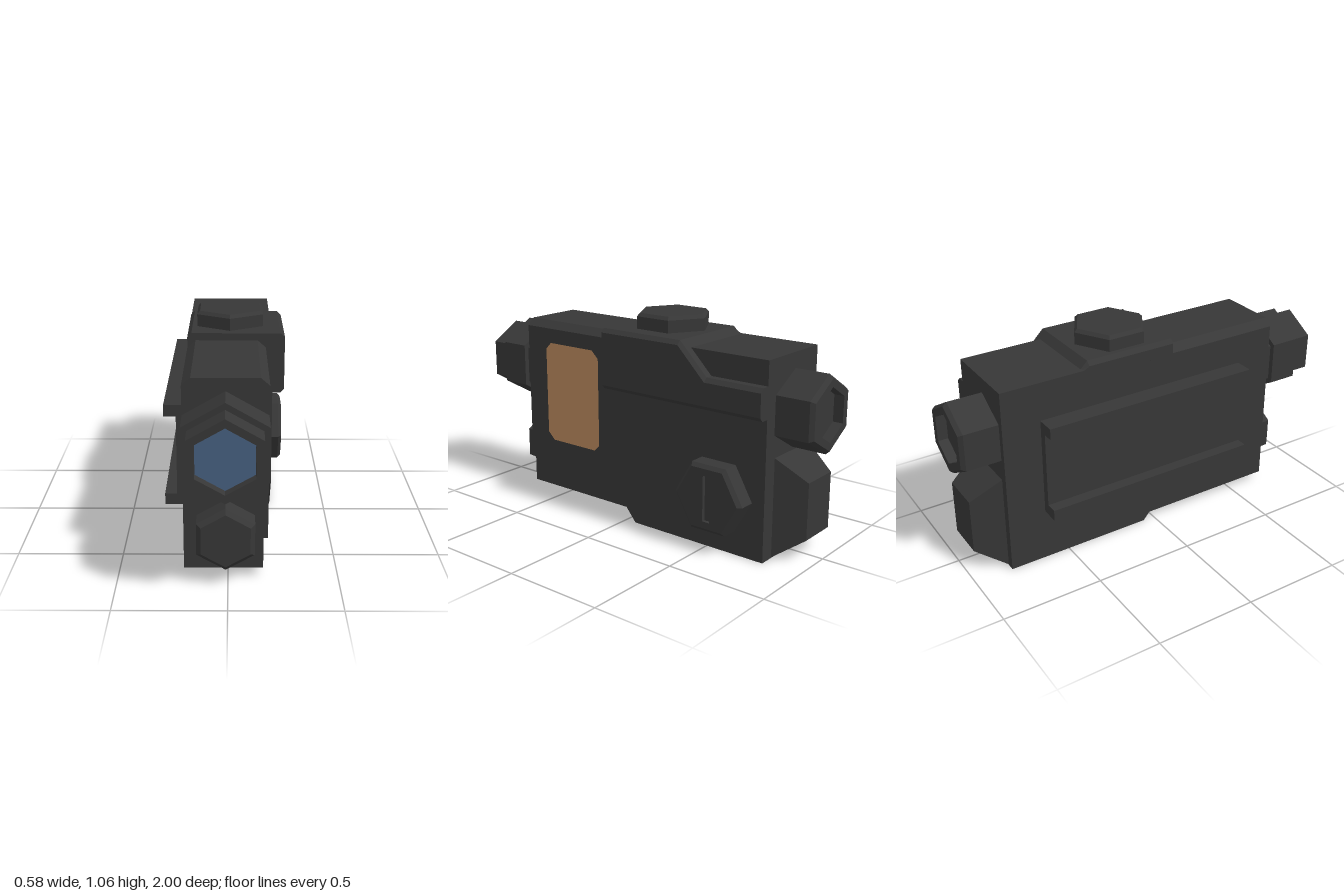
import * as THREE from 'three';

const housing = new THREE.MeshStandardMaterial({ color: 0x373737 });
housing.name = 'dark housing';
const amber = new THREE.MeshStandardMaterial({ color: 0xbb8a5e });
amber.name = 'amber window';
const glass = new THREE.MeshStandardMaterial({ color: 0x466080 });
glass.name = 'blue glass';

// Joins matching counter-clockwise rings of [x, y, z] points and caps both ends
function loft(rings) {
  const pos = [];
  const tri = (a, b, c) => pos.push(...a, ...b, ...c);
  const n = rings[0].length;
  for (let r = 0; r < rings.length - 1; r++) {
    const a = rings[r], b = rings[r + 1];
    for (let i = 0; i < n; i++) {
      const j = (i + 1) % n;
      tri(a[i], a[j], b[j]);
      tri(a[i], b[j], b[i]);
    }
  }
  const first = rings[0], last = rings[rings.length - 1];
  for (let i = 1; i < n - 1; i++) {
    tri(first[0], first[i + 1], first[i]);
    tri(last[0], last[i], last[i + 1]);
  }
  const geo = new THREE.BufferGeometry();
  geo.setAttribute('position', new THREE.Float32BufferAttribute(pos, 3));
  geo.computeVertexNormals();
  return geo;
}

const hexPoints = (r, phase) => Array.from({ length: 6 }, (_, i) => {
  const a = phase + i * Math.PI / 3;
  return [r * Math.cos(a), r * Math.sin(a)];
});

// Hexagonal stack along +z from [radius, z] steps
const hexStack = (steps, phase = Math.PI / 2) =>
  loft(steps.map(([r, z]) => hexPoints(r, phase).map(([x, y]) => [x, y, z])));

const toShape = (pts) => new THREE.Shape(pts.map(([x, y]) => new THREE.Vector2(x, y)));

// Extrudes a [z, y] outline sideways between two x positions
function sidePlate(pts, x0, x1, hole) {
  const flip = (list) => list.map(([z, y]) => [-z, y]);
  const shape = toShape(flip(pts));
  if (hole) shape.holes.push(toShape(flip(hole)));
  return new THREE.ExtrudeGeometry(shape, { depth: x1 - x0, bevelEnabled: false })
    .rotateY(Math.PI / 2).translate(x0, 0, 0);
}

// Extrudes an [x, y] outline between two z positions
const lengthwise = (pts, z0, z1) =>
  new THREE.ExtrudeGeometry(toShape(pts), { depth: z1 - z0, bevelEnabled: false }).translate(0, 0, z0);

const rect = (a0, a1, b0, b1) => [[a0, b0], [a1, b0], [a1, b1], [a0, b1]];

export function createModel() {
  const group = new THREE.Group();
  const add = (name, geo, mat = housing) => {
    const mesh = new THREE.Mesh(geo, mat);
    mesh.name = name;
    group.add(mesh);
    return mesh;
  };

  // Front housing with a raised side skin around the window
  add('frontHousing', lengthwise([
    [-0.2, 0.04], [0.16, 0.04], [0.16, 0.91], [0.18, 0.91],
    [0.14, 0.945], [-0.16, 0.945], [-0.2, 0.91]], -0.03, 0.7));
  const c = 0.04;
  const opening = [
    [0.21 + c, 0.3], [0.59 - c, 0.3], [0.59, 0.3 + c], [0.59, 0.835 - c],
    [0.59 - c, 0.835], [0.21 + c, 0.835], [0.21, 0.835 - c], [0.21, 0.3 + c]];
  add('windowFrame', sidePlate(rect(0.09, 0.7, 0.19, 0.91), 0.155, 0.18, opening));
  add('sideWindow', sidePlate(opening, 0.155, 0.162), amber);

  // Rear housing with a square recess for the side knob
  const rear = [[0.1, 0.19], [0.1, 0.945], [-0.81, 0.945], [-0.81, 0], [-0.06, 0]];
  add('rearHousing', sidePlate(rear, -0.2, 0.195));
  add('rearSideSkin', sidePlate(rear, 0.195, 0.215, rect(-0.755, -0.335, 0.08, 0.46)));

  // Raised top cover and the stepped guard hanging over its side
  add('topCover', loft([[-0.395, 0.945], [-0.36, 0.98], [0.1, 0.98]].map(([z, top]) => [
    [-0.2, 0.94], [0.21, 0.94], [0.21, top], [-0.18, top], [-0.2, Math.max(0.94, top - 0.02)],
  ].map(([x, y]) => [x, y, z]))));
  add('sideGuard', loft([[-0.81, 0.83], [-0.51, 0.83], [-0.36, 0.98], [0.1, 0.98]].map(([z, top]) => [
    [0.21, 0.68], [0.255, 0.68], [0.272, 0.7], [0.272, top - 0.02], [0.252, top], [0.21, top],
  ].map(([x, y]) => [x, y, z]))));

  // Front optic: stepped tube, collar and sunken lens
  add('opticTube', hexStack([[0.185, 0.69], [0.185, 1], [0.146, 1], [0.146, 0.95]]))
    .position.set(-0.01, 0.685, 0);
  add('opticCollar', hexStack([[0.215, 0.74], [0.215, 0.89]])).position.set(-0.01, 0.685, 0);
  add('lens', hexStack([[0.145, 0.948], [0.145, 0.956]]), glass).position.set(-0.01, 0.685, 0);

  // Lower front cap
  add('frontCap', hexStack([[0.15, 0.69], [0.15, 0.79], [0.127, 0.81]])).position.set(-0.01, 0.23, 0);

  // Rear eyepiece
  add('eyepiece', hexStack([[0.185, 0.8], [0.185, 0.98], [0.168, 1], [0.128, 1], [0.128, 0.95]])
    .rotateY(Math.PI)).position.set(-0.01, 0.685, 0);

  // Tapered block under the eyepiece
  add('rearBlock', loft([
    [-0.96, 0.1, 0.11, 0.385],
    [-0.81, 0.15, 0.003, 0.485],
    [-0.8, 0.15, 0.003, 0.485],
  ].map(([z, w, y0, y1]) => rect(-0.01 - w, -0.01 + w, y0, y1).map(([x, y]) => [x, y, z]))));

  // Top button
  add('topButton', hexStack([[0.188, 0.97], [0.188, 1.04], [0.172, 1.056]])
    .rotateX(-Math.PI / 2)).position.set(0.007, 0, -0.132);

  // Side knob with a slotted face
  const knob = new THREE.Group();
  knob.name = 'sideKnob';
  knob.position.set(0, 0.267, -0.545);
  knob.rotation.y = Math.PI / 2;
  const rim = new THREE.Mesh(
    hexStack([[0.188, 0.19], [0.188, 0.273], [0.168, 0.29], [0.168, 0.272]], 0), housing);
  rim.name = 'knobRim';
  const faceShape = toShape(hexPoints(0.168, 0));
  faceShape.holes.push(toShape(rect(-0.02, 0.02, -0.112, 0.112)));
  const face = new THREE.Mesh(
    new THREE.ExtrudeGeometry(faceShape, { depth: 0.018, bevelEnabled: false }), housing);
  face.name = 'knobFace';
  face.position.z = 0.272;
  knob.add(rim, face);
  group.add(knob);

  // Channel-shaped mounting rail on the other side
  add('mountRail', lengthwise([
    [-0.19, 0.265], [-0.19, 0.755], [-0.293, 0.755], [-0.293, 0.7],
    [-0.237, 0.7], [-0.237, 0.32], [-0.293, 0.32], [-0.293, 0.265]], -0.62, 0.505));

  return group;
}
